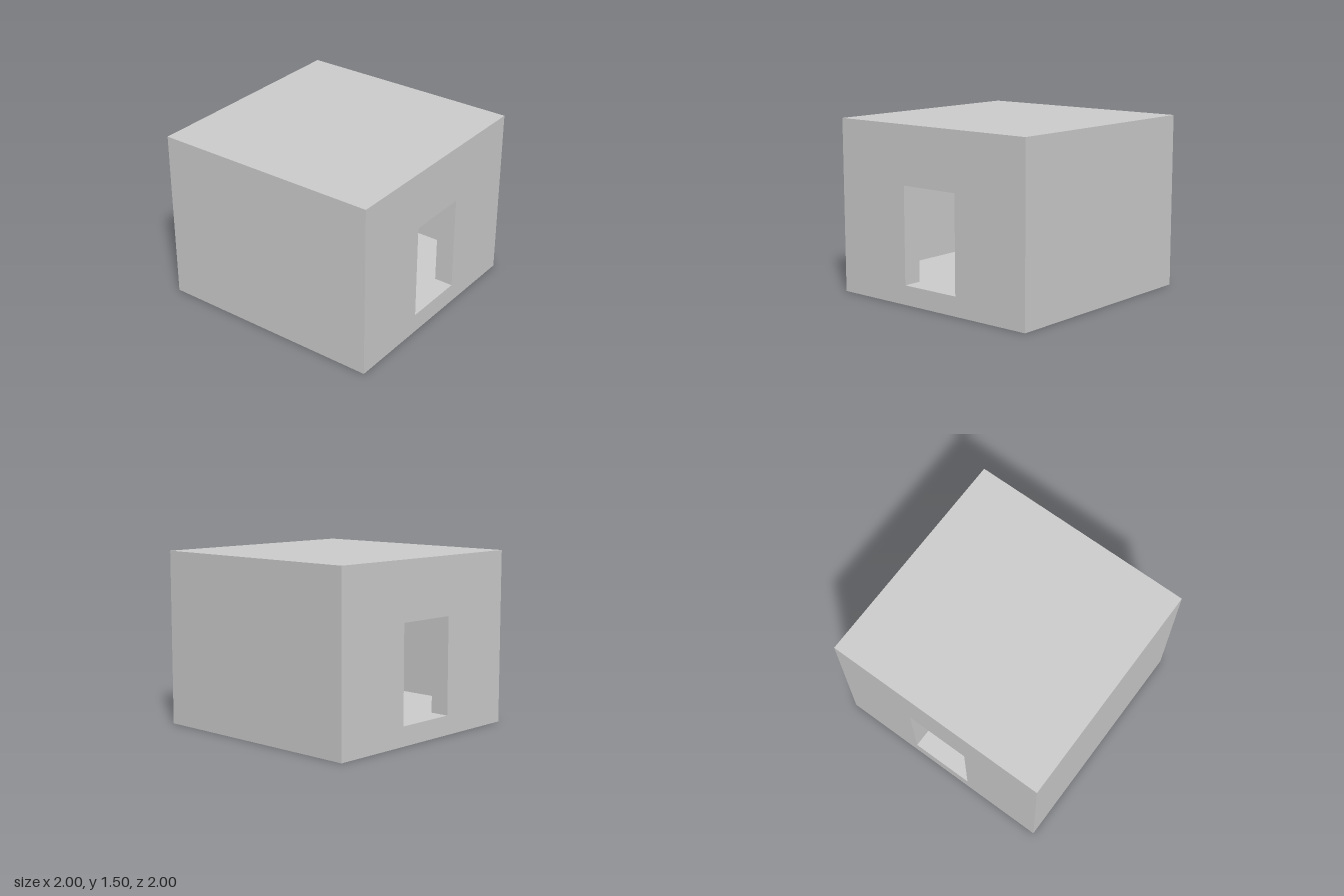
import * as THREE from 'three';

const W = 2, H = 1.5, T = 1 / 6;            // outer width, height, wall thickness
const HALF = 0.28, SILL = T, LINTEL = 1;    // doorway half-width, bottom and top
const IN = W / 2 - T;                       // inner half-width

export function createModel() {
  const group = new THREE.Group();
  const material = new THREE.MeshStandardMaterial({ color: 0xcccccc });

  const add = (name, geometry, parent = group) => {
    const mesh = new THREE.Mesh(geometry, material);
    mesh.name = name;
    parent.add(mesh);
  };

  // Box sleeve along x without its two end faces, facing outward or inward
  const sleeve = (w, y0, y1, d, x, inward) => {
    const g = new THREE.BoxGeometry(w, y1 - y0, d).translate(x, (y0 + y1) / 2, 0);
    const index = Array.from(g.index.array).slice(12);
    g.clearGroups();
    g.setIndex(inward ? index.reverse() : index);
    if (inward) g.attributes.normal.array.forEach((n, i, a) => { a[i] = -n; });
    return g;
  };

  const polygon = (points) => points.map(([a, b]) => new THREE.Vector2(a, b));

  // Outer roof, base, front and back; inner ceiling, floor and walls
  add('outerShell', sleeve(W, 0, H, W, 0, false));
  add('roomInterior', sleeve(2 * IN, SILL, H - T, 2 * IN, 0, true));

  // Outer side face with the doorway hole
  const outer = new THREE.Shape(polygon([[-1, 0], [1, 0], [1, H], [-1, H]]));
  outer.holes.push(new THREE.Path(polygon([
    [-HALF, SILL], [-HALF, LINTEL], [HALF, LINTEL], [HALF, SILL]])));

  // Inner side face, notched because the doorway starts at floor level
  const inner = new THREE.Shape(polygon([
    [-IN, SILL], [-HALF, SILL], [-HALF, LINTEL], [HALF, LINTEL],
    [HALF, SILL], [IN, SILL], [IN, H - T], [-IN, H - T]]));

  // Matching doorway walls on the left and right
  for (const [name, turn] of [['leftWall', 0], ['rightWall', Math.PI]]) {
    const wall = new THREE.Group();
    wall.name = name;
    wall.rotation.y = turn;
    add('outerFace', new THREE.ShapeGeometry(outer).rotateY(Math.PI / 2).translate(W / 2, 0, 0), wall);
    add('innerFace', new THREE.ShapeGeometry(inner).rotateY(-Math.PI / 2).translate(IN, 0, 0), wall);
    add('doorwayReveal', sleeve(T, SILL, LINTEL, 2 * HALF, W / 2 - T / 2, true), wall);
    group.add(wall);
  }

  return group;
}
